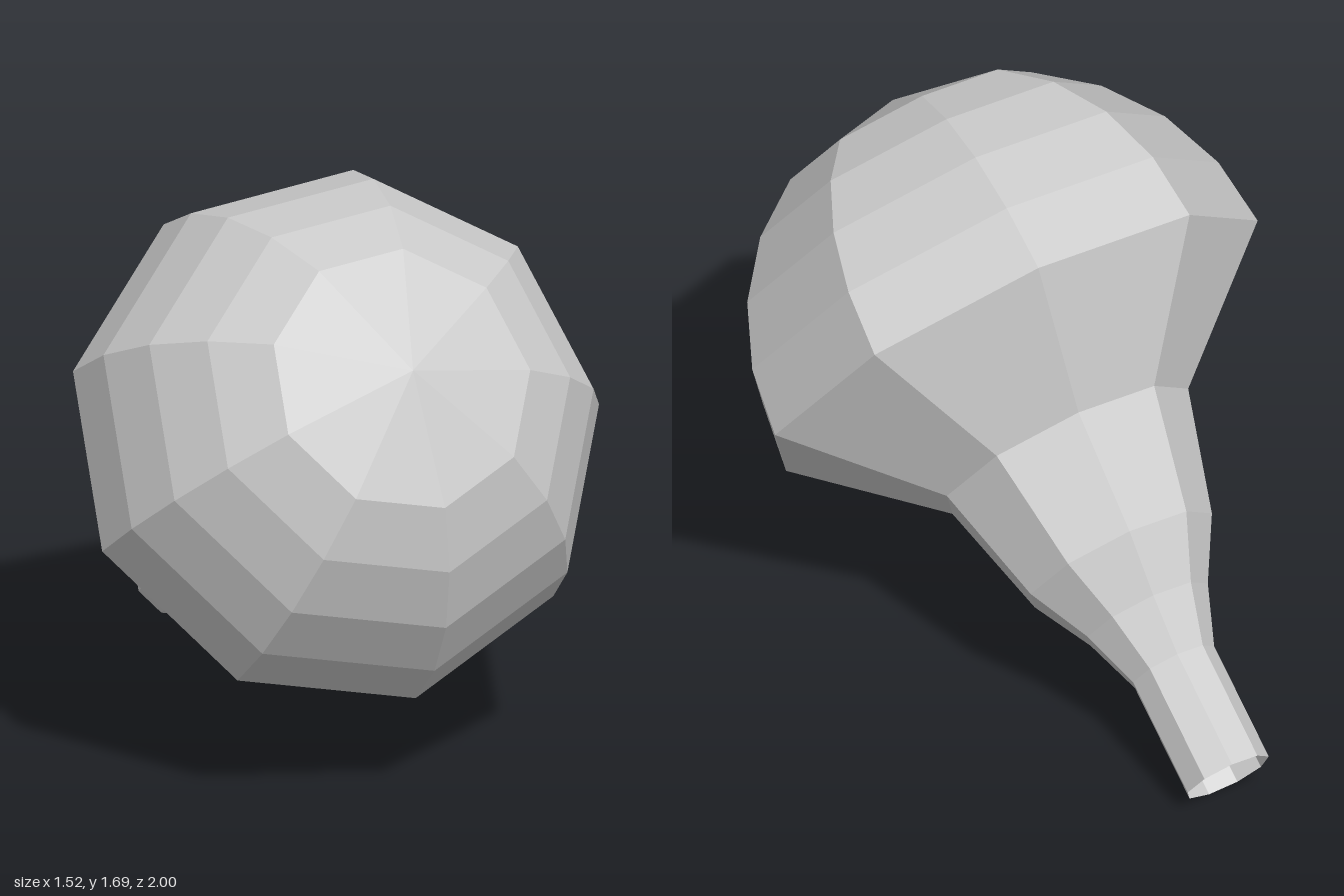
import * as THREE from 'three';

const SIDES = 9;
const TURN = THREE.MathUtils.degToRad(7.4);

export function createModel() {
  const material = new THREE.MeshStandardMaterial({
    color: 0xcccccc, flatShading: true, side: THREE.DoubleSide,
  });
  const group = new THREE.Group();
  group.name = 'bulb';

  // Turns a [radius, height] profile into a nine-sided faceted part
  const addTurned = (name, profile) => {
    const points = profile.map(([r, h]) => new THREE.Vector2(r, h));
    const mesh = new THREE.Mesh(new THREE.LatheGeometry(points, SIDES, TURN), material);
    mesh.name = name;
    group.add(mesh);
  };

  // Hollow neck, open at its end, flaring into the shoulder
  addTurned('neck', [
    [0.131, 0], [0.131, 0.358], [0.194, 0.53], [0.293, 0.708], [0.39, 1.064],
  ]);

  // Shoulder between neck and dome rim
  const R = 0.78, rim = 1.415;
  addTurned('shoulder', [[0.39, 1.064], [R, rim]]);

  // Hemispherical dome, rings every 15 degrees and a wide cap
  addTurned('dome', [0, 15, 30, 45, 60, 90].map((deg) => {
    const a = THREE.MathUtils.degToRad(deg);
    return [deg === 90 ? 0 : R * Math.cos(a), rim + R * Math.sin(a)];
  }));

  // Lean the whole body forward along its axis, neck end near the ground
  const axis = new THREE.Vector3(0.065, 1.271, 1.79).normalize();
  const under = new THREE.Vector3(0, -axis.z, axis.y).normalize();
  const across = new THREE.Vector3().crossVectors(axis, under).normalize();
  group.quaternion.setFromRotationMatrix(new THREE.Matrix4().makeBasis(across, axis, under));
  group.position.set(-0.063, 0.106, -0.928);

  const model = new THREE.Group();
  model.name = 'model';
  model.add(group);
  return model;
}
